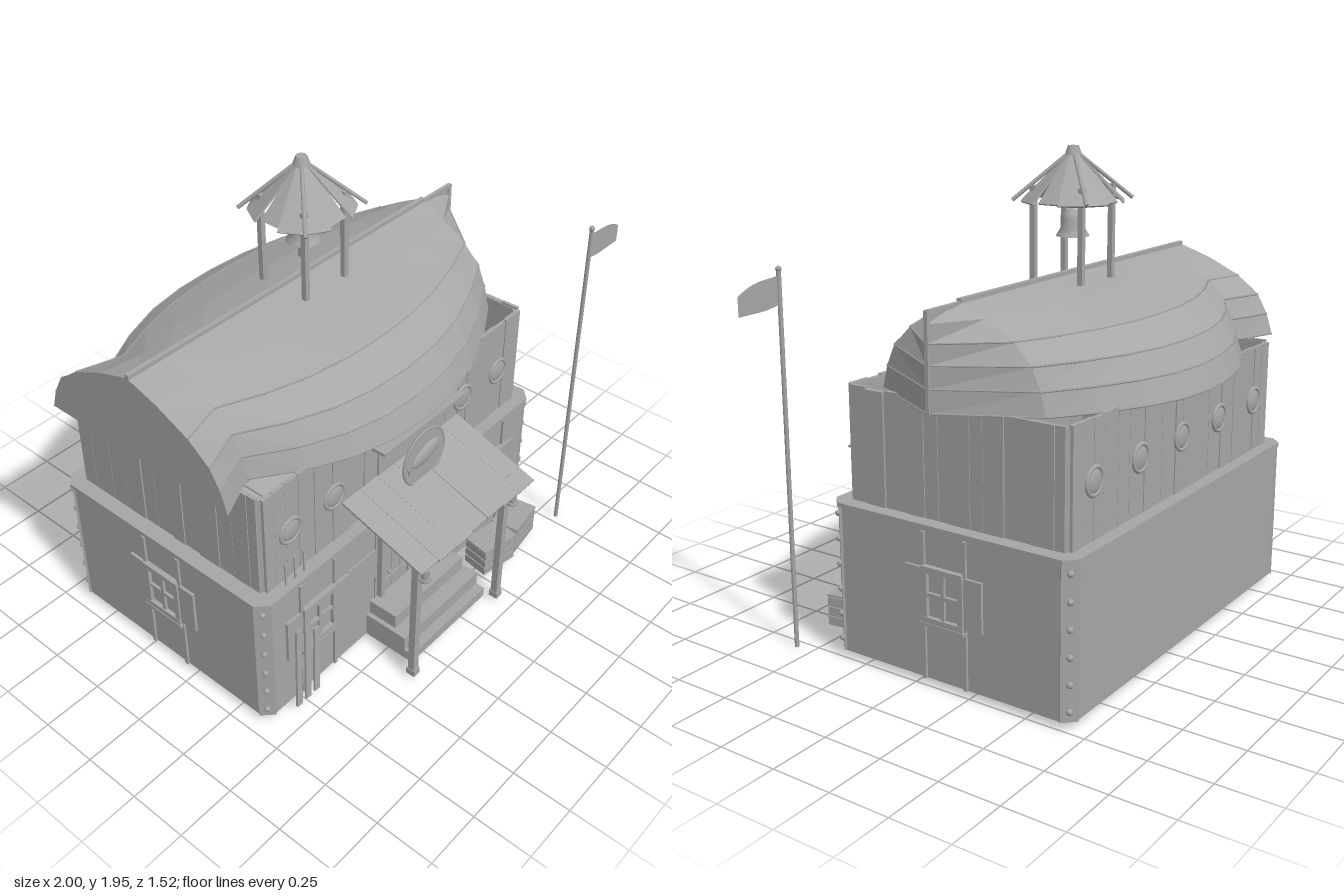
import * as THREE from 'three';

const grey = new THREE.MeshStandardMaterial({ color: 0xa6a6a6, side: THREE.DoubleSide });
grey.name = 'plain grey';

let seed = 7;
const rand = () => (seed = (seed * 16807) % 2147483647) / 2147483647;

function add(parent, name, geo, x = 0, y = 0, z = 0) {
  const m = new THREE.Mesh(geo, grey);
  m.name = name;
  m.position.set(x, y, z);
  parent.add(m);
  return m;
}
// Box given by its min and max on each axis
const box = (p, name, x0, x1, y0, y1, z0, z1) =>
  add(p, name, new THREE.BoxGeometry(x1 - x0, y1 - y0, z1 - z0), (x0 + x1) / 2, (y0 + y1) / 2, (z0 + z1) / 2);
// Round bar between two points
function rod(p, name, a, b, r, sides = 8) {
  const A = new THREE.Vector3(...a), B = new THREE.Vector3(...b), d = B.clone().sub(A);
  const m = add(p, name, new THREE.CylinderGeometry(r, r, d.length(), sides));
  m.position.copy(A).add(B).multiplyScalar(0.5);
  m.quaternion.setFromUnitVectors(new THREE.Vector3(0, 1, 0), d.normalize());
  return m;
}
function group(parent, name, x = 0, y = 0, z = 0, ry = 0) {
  const g = new THREE.Group();
  g.name = name;
  g.position.set(x, y, z);
  g.rotation.y = ry;
  parent.add(g);
  return g;
}

// Hollow rectangular ring of walls with cut corners of size c and thickness t
function wallRing(p, name, x0, x1, z0, z1, c, t, y0, y1) {
  const outline = (a, b, d, e) => [[a + c, d], [b - c, d], [b, d + c], [b, e - c], [b - c, e], [a + c, e], [a, e - c], [a, d + c]]
    .map(q => new THREE.Vector2(...q));
  const shape = new THREE.Shape(outline(x0, x1, z0, z1));
  shape.holes.push(new THREE.Path(outline(x0 + t, x1 - t, z0 + t, z1 - t).reverse()));
  const geo = new THREE.ExtrudeGeometry(shape, { depth: y1 - y0, bevelEnabled: false });
  add(p, name, geo.rotateX(Math.PI / 2), 0, y1, 0);
}

// Wall of uneven vertical planks, facing local +z
function plankWall(g, x0, x1, y0, y1) {
  let x = x0;
  while (x < x1 - 0.001) {
    let w = 0.05 + rand() * 0.06;
    if (x + w > x1 - 0.04) w = x1 - x;
    box(g, 'wallPlank', x, x + w - 0.002, y0, y1 - rand() * 0.008, -0.02, -rand() * 0.006);
    x += w;
  }
}

// Window with frame, cross bars, shutters and boards above and below
function windowUnit(parent, x, y, z, ry, shutterL, shutterR) {
  const g = group(parent, 'window', x, y, z, ry);
  box(g, 'pane', -0.085, 0.085, -0.11, 0.11, 0, 0.004);
  for (const s of [-1, 1]) {
    box(g, 'frameSide', s * 0.082 - 0.012, s * 0.082 + 0.012, -0.11, 0.11, 0, 0.02);
    box(g, 'frameRail', -0.094, 0.094, s * 0.1 - 0.012, s * 0.1 + 0.012, 0, 0.022);
    box(g, 'wallStud', s * 0.095 - 0.008, s * 0.095 + 0.008, -0.345, 0.24, 0, 0.01);
  }
  box(g, 'barUpright', -0.008, 0.008, -0.1, 0.1, 0, 0.016);
  box(g, 'barAcross', -0.08, 0.08, -0.008, 0.008, 0, 0.016);
  box(g, 'sill', -0.1, 0.1, -0.125, -0.11, 0, 0.025);
  box(g, 'shutter', -0.094 - shutterL, -0.094, -0.1, 0.1, 0, 0.012);
  box(g, 'shutter', 0.094, 0.094 + shutterR, -0.1, 0.1, 0, 0.012);
}

function porthole(parent, x, z, ry) {
  const g = group(parent, 'porthole', x, 0.865, z, ry);
  add(g, 'portholeRing', new THREE.TorusGeometry(0.052, 0.009, 8, 24));
  add(g, 'portholeGlass', new THREE.SphereGeometry(0.046, 20, 10)).scale.z = 0.25;
}

function lowerStorey(root) {
  const g = group(root, 'lowerStorey');
  wallRing(g, 'lowerWalls', -0.94, 0.745, -0.69, 0.4, 0.045, 0.06, 0.03, 0.63);
  wallRing(g, 'ledge', -0.95, 0.755, -0.7, 0.41, 0.045, 0.065, 0.625, 0.643);
  // Bolted boards across the cut corners
  for (const [x, sx] of [[-0.9175, -1], [0.7225, 1]]) for (const [z, sz] of [[0.3775, 1], [-0.6675, -1]]) {
    const c = group(g, 'corner', x, 0, z, Math.atan2(sx, sz));
    box(c, 'cornerBoard', -0.034, 0.034, 0.03, 0.63, -0.01, 0.008);
    for (let i = 0; i < 6; i++) add(c, 'bolt', new THREE.SphereGeometry(0.013, 8, 6), 0, 0.07 + i * 0.104, 0.01);
  }
  windowUnit(g, -0.645, 0.375, 0.4, 0, 0.085, 0.08);
  windowUnit(g, 0.455, 0.375, 0.4, 0, 0.01, 0.075);
  windowUnit(g, 0.745, 0.375, -0.14, Math.PI / 2, 0.085, 0.08);
  windowUnit(g, -0.94, 0.375, -0.14, -Math.PI / 2, 0.085, 0.08);
  box(g, 'patchBoard', -0.47, -0.3, 0.33, 0.48, 0.4, 0.408);
  for (const x of [-0.3, 0.24]) box(g, 'wallStud', x - 0.005, x + 0.005, 0.03, 0.63, 0.4, 0.406);
}

function upperStorey(root) {
  const g = group(root, 'upperStorey');
  wallRing(g, 'upperWalls', -0.882, 0.692, -0.642, 0.352, 0.02, 0.015, 0.63, 1.09);
  plankWall(group(g, 'frontPlanks', 0, 0, 0.36), -0.868, 0.678, 0.63, 1.1);
  plankWall(group(g, 'backPlanks', 0, 0, -0.65, Math.PI), -0.678, 0.868, 0.63, 1.1);
  plankWall(group(g, 'leftPlanks', 0.7, 0, 0, Math.PI / 2), -0.338, 0.628, 0.63, 1.1);
  plankWall(group(g, 'rightPlanks', -0.89, 0, 0, -Math.PI / 2), -0.628, 0.338, 0.63, 1.1);
  for (const x of [-0.735, -0.495, 0.3, 0.54]) porthole(g, x, 0.358, 0);
  for (const x of [-0.735, -0.415, -0.1, 0.22, 0.54]) porthole(g, x, -0.648, Math.PI);
}

// Upturned hull: strakes between a profile of width and drop fractions
function hullRoof(root) {
  const g = group(root, 'hullRoof', 0, 0, -0.14);
  const stations = [[-1, 0.46, 1.1], [-0.82, 0.375, 1.095], [-0.64, 0.49, 1.085], [-0.46, 0.57, 1.078], [-0.28, 0.61, 1.072],
    [-0.1, 0.62, 1.07], [0.08, 0.605, 1.073], [0.26, 0.56, 1.08], [0.45, 0.475, 1.085], [0.63, 0.365, 1.09], [0.82, 0.003, 1.09]];
  const profile = [[0, 0], [0.31, 0.13], [0.63, 0.32], [0.84, 0.53], [0.94, 0.76], [1, 1]];
  const pt = ([x, w, low], [f, d], side) => [x, 1.455 - (1.455 - low) * d, side * w * f];
  for (const side of [-1, 1]) for (let i = 0; i < 5; i++) {
    const pos = [];
    for (let j = 0; j < stations.length - 1; j++) {
      const [a, b, c, d] = [[j, i], [j + 1, i], [j + 1, i + 1], [j, i + 1]].map(([s, p]) => pt(stations[s], profile[p], side));
      pos.push(...(side > 0 ? [a, d, c, a, c, b] : [a, c, d, a, b, c]).flat());
      // Batten over the seam and along the lower edge
      if (i > 0) rod(g, 'hullSeam', d, c, 0.004, 4);
    }
    const geo = new THREE.BufferGeometry();
    geo.setAttribute('position', new THREE.Float32BufferAttribute(pos, 3));
    geo.computeVertexNormals();
    add(g, 'hullStrake', geo);
  }
  // Flat stern, ridge keel and stem
  const half = profile.map(p => pt(stations[0], p, 1));
  const outline = [...half.slice().reverse(), ...half.slice(1).map(([x, y, z]) => [x, y, -z])];
  const stern = new THREE.ShapeGeometry(new THREE.Shape(outline.map(p => new THREE.Vector2(p[2], p[1]))));
  add(g, 'stern', stern.rotateY(-Math.PI / 2), -0.999);
  box(g, 'keel', -1, 0.635, 1.445, 1.468, -0.01, 0.01);
  box(g, 'keelEnd', 0.63, 0.82, 1.44, 1.457, -0.008, 0.008);
  box(g, 'stem', 0.805, 0.825, 1.085, 1.455, -0.008, 0.008);
}

function bellTower(root) {
  const g = group(root, 'bellTower', -0.1, 0, -0.14);
  for (const x of [-0.11, 0.11]) for (const z of [-0.11, 0.11]) {
    box(g, 'towerPost', x - 0.011, x + 0.011, 1.43, 1.8, z - 0.011, z + 0.011);
    rod(g, 'hipRafter', [0, 1.935, 0], [x * 1.54, 1.745, z * 1.54], 0.008, 6);
  }
  // Square roof: a plain plank per side and a longer one each side of every hip
  for (let i = 0; i < 12; i++) {
    const hip = i % 3 > 0, len = hip ? 0.277 : 0.26, w = hip ? 0.05 : 0.043;
    const plank = new THREE.Shape([[-0.008, 0], [-w, -len], [w, -len], [0.008, 0]].map(p => new THREE.Vector2(...p)));
    const geo = new THREE.ExtrudeGeometry(plank, { depth: 0.008, bevelEnabled: false });
    geo.rotateX(hip ? -0.78 : -0.72).rotateY((i * Math.PI) / 6);
    add(g, 'towerRoofPlank', geo, 0, 1.93, 0);
  }
  add(g, 'towerCap', new THREE.CylinderGeometry(0.022, 0.034, 0.035, 8), 0, 1.932, 0);
  const bell = [[0.066, 0], [0.06, 0.012], [0.048, 0.03], [0.044, 0.065], [0.036, 0.09], [0.015, 0.105], [0, 0.115]];
  add(g, 'bell', new THREE.LatheGeometry(bell.map(p => new THREE.Vector2(...p)), 24), 0, 1.6, 0);
}

function porch(root) {
  const g = group(root, 'porch');
  // Sloping plank awning
  for (let i = 0; i < 7; i++) {
    const len = 0.405 + rand() * 0.012;
    const m = add(g, 'awningPlank', new THREE.BoxGeometry(0.101, 0.01, len).translate(0, 0, len / 2), -0.404 + i * 0.102, 0.8, 0.36);
    m.rotation.x = 0.31 + rand() * 0.015;
  }
  for (const x of [-0.38, 0.185]) {
    box(g, 'porchPost', x - 0.015, x + 0.015, 0.02, 0.7, 0.655, 0.685);
    box(g, 'postFoot', x - 0.018, x + 0.018, 0.02, 0.05, 0.65, 0.69);
    add(g, 'lantern', new THREE.CylinderGeometry(0.02, 0.017, 0.06, 8), x, 0.608, 0.708);
    add(g, 'lanternCap', new THREE.ConeGeometry(0.026, 0.03, 8), x, 0.65, 0.708);
    add(g, 'lanternBase', new THREE.CylinderGeometry(0.024, 0.024, 0.012, 8), x, 0.575, 0.708);
  }
  // Steps
  box(g, 'bottomStep', -0.35, 0.14, 0.03, 0.075, 0.4, 0.64);
  box(g, 'middleStep', -0.35, 0.14, 0.075, 0.14, 0.4, 0.6);
  box(g, 'topStep', -0.33, 0.12, 0.14, 0.205, 0.4, 0.535);
  // Double door
  for (const s of [-1, 1]) {
    box(g, 'doorJamb', -0.1 + s * 0.175 - 0.012, -0.1 + s * 0.175 + 0.012, 0.2, 0.62, 0.4, 0.425);
    for (let i = 0; i < 3; i++) {
      const x = -0.1 + s * (0.03 + i * 0.051);
      box(g, 'doorPlank', x - 0.024, x + 0.024, 0.205, 0.595, 0.4, 0.41);
    }
    for (const y of [0.25, 0.52]) box(g, 'doorBrace', -0.1 + s * 0.08 - 0.07, -0.1 + s * 0.08 + 0.07, y, y + 0.03, 0.41, 0.416);
    add(g, 'doorKnob', new THREE.SphereGeometry(0.009, 8, 6), -0.1 + s * 0.13, 0.31, 0.42);
  }
  box(g, 'doorLintel', -0.29, 0.09, 0.6, 0.62, 0.4, 0.425);
  // Hanging fish sign
  box(g, 'signBoard', -0.245, 0.14, 0.72, 1.01, 0.355, 0.365);
  box(g, 'signBracket', -0.34, 0.14, 1.015, 1.028, 0.38, 0.47);
  add(g, 'signRing', new THREE.TorusGeometry(0.123, 0.006, 6, 32), -0.1, 0.87, 0.47);
  add(g, 'signDisc', new THREE.CylinderGeometry(0.12, 0.12, 0.008, 32).rotateX(Math.PI / 2), -0.1, 0.87, 0.468);
  const fish = group(g, 'fish', -0.09, 0.88, 0.47);
  fish.rotation.z = 0.25;
  add(fish, 'fishBody', new THREE.SphereGeometry(0.09, 16, 10)).scale.set(1, 0.47, 0.18);
  const tail = add(fish, 'fishTail', new THREE.ConeGeometry(0.035, 0.05, 4), -0.09);
  tail.rotation.z = -Math.PI / 2;
  tail.scale.z = 0.2;
}

function yard(root) {
  const g = group(root, 'yard');
  // Crates
  for (const [x, z, ry] of [[0.335, 0.53, -0.17], [0.52, 0.52, 0.14]]) {
    const c = group(g, 'crate', x, 0.03, z, ry);
    box(c, 'crateBody', -0.085, 0.085, 0, 0.12, -0.055, 0.055);
    for (let i = 0; i < 3; i++) {
      box(c, 'crateSlat', -0.09, 0.09, 0.004 + i * 0.042, 0.04 + i * 0.042, -0.06, 0.06);
      box(c, 'crateLid', -0.092, 0.092, 0.128, 0.137, -0.062 + i * 0.042, -0.022 + i * 0.042);
    }
  }
  // Boards leaning on the wall
  for (let i = 0; i < 3; i++) {
    const x = -0.79 + i * 0.05;
    const m = box(g, 'leaningBoard', x - 0.014, x + 0.014, 0.03, 0.41 - i * 0.03, 0.425, 0.435);
    m.rotation.set(-0.06, 0, -0.08);
    const s = box(g, 'ledgeStick', x - 0.004, x + 0.004, 0.645, 0.74, 0.375, 0.382);
    s.rotation.set(-0.1, 0, -0.08);
  }
  // Flag
  rod(g, 'flagPole', [0.79, 0, 0.58], [0.79, 1.52, 0.58], 0.009);
  add(g, 'poleKnob', new THREE.SphereGeometry(0.012, 8, 6), 0.79, 1.525, 0.58);
  const s = new THREE.Shape();
  s.moveTo(0.795, 1.5);
  s.bezierCurveTo(0.87, 1.49, 0.92, 1.5, 1, 1.45);
  s.lineTo(1, 1.375);
  s.bezierCurveTo(0.92, 1.38, 0.88, 1.37, 0.795, 1.39);
  add(g, 'flag', new THREE.ShapeGeometry(s, 8), 0, 0, 0.58);
}

export function createModel() {
  const root = new THREE.Group();
  root.name = 'hullRoofedHouse';
  [lowerStorey, upperStorey, hullRoof, bellTower, porch, yard].forEach(build => build(root));
  return root;
}
